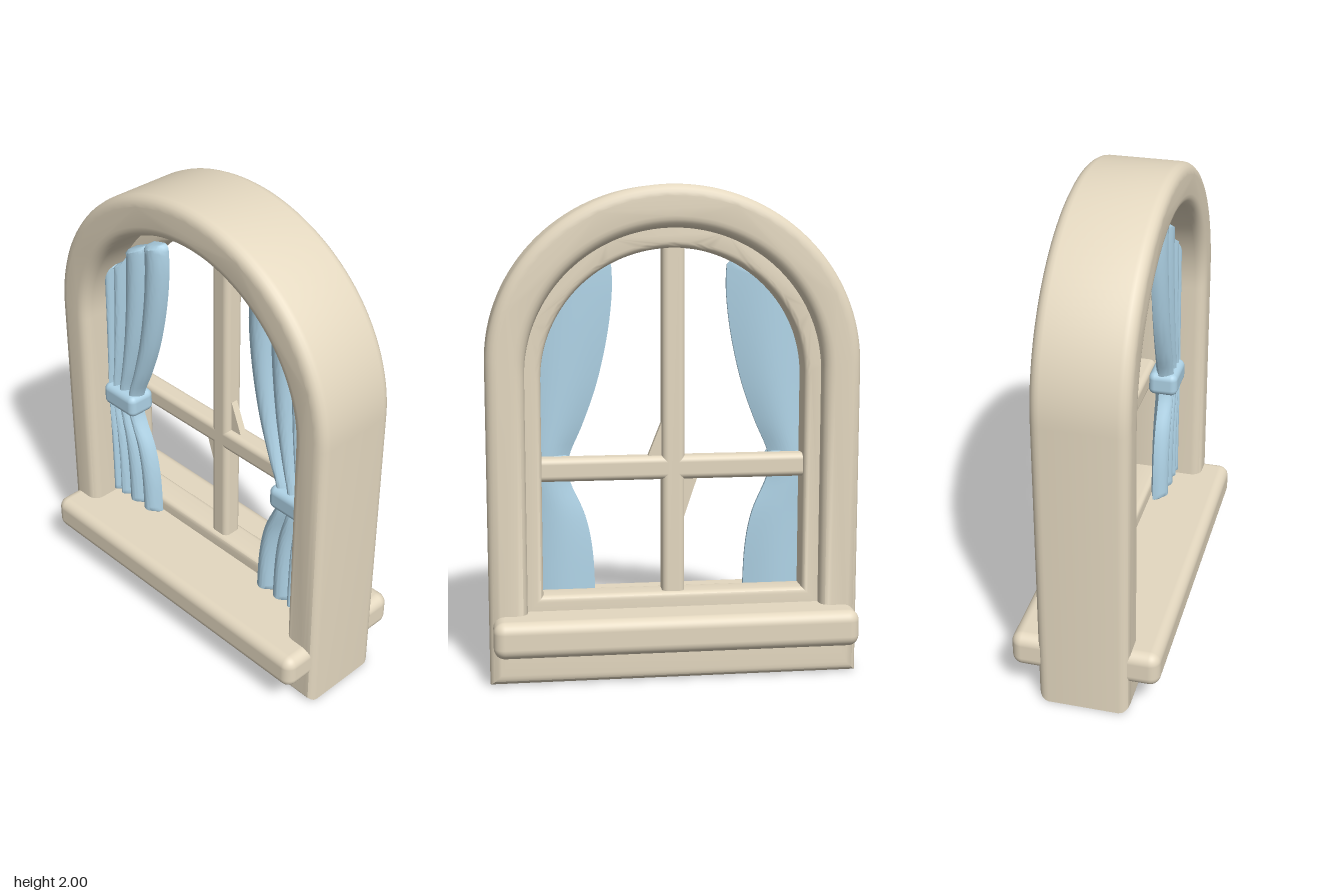
import * as THREE from 'three';
import { toCreasedNormals } from 'three/addons/utils/BufferGeometryUtils.js';
import { RoundedBoxGeometry } from 'three/addons/geometries/RoundedBoxGeometry.js';

const stone = new THREE.MeshStandardMaterial({ color: 0xe4d8c0 });
stone.name = 'sandstone';
const cloth = new THREE.MeshStandardMaterial({ color: 0xb4d9ed });
cloth.name = 'pale blue cloth';

function add(group, name, geometry, material, x = 0, y = 0, z = 0) {
  const mesh = new THREE.Mesh(geometry, material);
  mesh.name = name;
  mesh.position.set(x, y, z);
  group.add(mesh);
  return mesh;
}

// Round-headed outline: straight sides up to the spring line, then half an ellipse
function arch(halfWidth, bottom, spring, top) {
  const points = [new THREE.Vector2(-halfWidth, bottom), new THREE.Vector2(halfWidth, bottom)];
  for (let i = 0; i <= 64; i++) {
    const a = (Math.PI * i) / 64;
    points.push(new THREE.Vector2(halfWidth * Math.cos(a), spring + (top - spring) * Math.sin(a)));
  }
  return points;
}

// Arched ring with rounded edges, centred on z = 0
function archRing(outer, inner, depth, bevel) {
  const shape = new THREE.Shape(arch(...outer));
  shape.holes.push(new THREE.Path(arch(...inner)));
  const geometry = new THREE.ExtrudeGeometry(shape, {
    depth: depth - 2 * bevel, bevelEnabled: true, bevelThickness: bevel, bevelSize: bevel,
    bevelOffset: -bevel, bevelSegments: 5, curveSegments: 1,
  });
  geometry.translate(0, 0, -depth / 2 + bevel);
  return toCreasedNormals(geometry, 0.7);
}

// Linear interpolation through [position, value] pairs
function lerpTable(table, t) {
  let i = 0;
  while (i < table.length - 2 && t > table[i + 1][0]) i++;
  const [a, va] = table[i], [b, vb] = table[i + 1];
  return THREE.MathUtils.lerp(va, vb, THREE.MathUtils.clamp((t - a) / (b - a), 0, 1));
}

// Free edge of the curtain as (height, x), smoothed
const EDGE = new THREE.SplineCurve([
  [0.31, 0.312], [0.5, 0.322], [0.65, 0.352], [0.8, 0.415], [0.9, 0.415],
  [1.03, 0.36], [1.2, 0.3], [1.4, 0.255], [1.58, 0.235], [1.71, 0.24],
].map(([y, x]) => new THREE.Vector2(y, x))).getPoints(80).map((p) => [p.x, p.y]);
// Stepped top hem that follows the arch, from free edge to wall
const HEM = [[0, 1.68], [0.05, 1.695], [0.3, 1.665], [0.36, 1.645], [0.62, 1.6], [0.69, 1.53], [1, 1.46]];
// Fold number across the width, wide folds at the free edge
const PLEATS = [[0, 0], [0.33, 1], [0.65, 2], [0.84, 3], [1, 4]];
const TIE_Y = 0.855, BOTTOM = 0.315, WALL = 0.595;

// Closed pleated curtain from stacked cross-sections; side is +1 or -1
function curtainGeometry(side) {
  const n = 48, rows = [];
  for (let i = 0; i <= 18; i++) rows.push(i / 18 - 1);
  for (let i = 1; i <= 26; i++) rows.push(i / 26);
  rows.splice(1, 0, -0.98);
  rows.splice(rows.length - 1, 0, 0.985);
  const positions = [], index = [], ring = 2 * (n + 1);

  const place = (u, v, front) => {
    const y = v < 0 ? TIE_Y + v * (TIE_Y - BOTTOM) : TIE_Y + v * (lerpTable(HEM, u) - TIE_Y);
    const edge = lerpTable(EDGE, y);
    const end = Math.abs(v) > 0.999 ? 0.65 : 1;
    const pleat = Math.pow(Math.abs(Math.sin(Math.PI * lerpTable(PLEATS, u))), 0.65);
    const z = front ? 0.03 + (0.015 + 0.045 * pleat) * end : 0.03 - 0.03 * end * Math.sin(Math.PI * u);
    positions.push(side * (edge + (WALL - edge) * u), y, z);
  };
  for (const v of rows) {
    for (let j = 0; j <= n; j++) place(j / n, v, true);
    for (let j = n; j >= 0; j--) place(j / n, v, false);
  }
  const quad = (a, b, c, d) => {
    if (side > 0) index.push(a, b, c, a, c, d);
    else index.push(a, c, b, a, d, c);
  };
  for (let r = 0; r < rows.length - 1; r++) {
    for (let j = 0; j < ring; j++) {
      const k = (j + 1) % ring;
      quad(r * ring + j, r * ring + k, (r + 1) * ring + k, (r + 1) * ring + j);
    }
  }
  // Hems at the bottom and top
  const last = (rows.length - 1) * ring;
  for (let j = 0; j < n; j++) {
    const back = ring - 1 - j;
    quad(j, back, back - 1, j + 1);
    quad(last + j, last + j + 1, last + back - 1, last + back);
  }
  const geometry = new THREE.BufferGeometry();
  geometry.setAttribute('position', new THREE.Float32BufferAttribute(positions, 3));
  geometry.setIndex(index);
  return toCreasedNormals(geometry, 1.0);
}

// Small triangular web in a corner of the glazing cross
function gusset(points) {
  const shape = new THREE.Shape(points.map(([x, y]) => new THREE.Vector2(x, y)));
  const geometry = new THREE.ExtrudeGeometry(shape, { depth: 0.03, bevelEnabled: false });
  return geometry.translate(0, 0, -0.015);
}

export function createModel() {
  const model = new THREE.Group();
  model.name = 'archedWindow';

  // Masonry surround and the sill that projects front and back
  add(model, 'outerFrame',
    archRing([0.755, 0, 1.28, 2], [0.6, 0.22, 1.25, 1.83], 0.38, 0.045), stone);
  add(model, 'sill', new RoundedBoxGeometry(1.48, 0.15, 0.61, 5, 0.045), stone, 0, 0.215, 0);

  // Sash: inner rim and glazing bars
  const sash = new THREE.Group();
  sash.name = 'sash';
  sash.position.z = -0.06;
  model.add(sash);
  add(sash, 'innerRim',
    archRing([0.64, 0.23, 1.25, 1.87], [0.535, 0.35, 1.23, 1.75], 0.13, 0.025), stone);
  add(sash, 'verticalBar', new RoundedBoxGeometry(0.092, 1.5, 0.09, 4, 0.025), stone, 0, 1.05, 0);
  add(sash, 'horizontalBar', new RoundedBoxGeometry(1.16, 0.096, 0.09, 4, 0.025), stone, 0, 0.863, 0);
  add(sash, 'upperGusset', gusset([[0.03, 0.9], [0.105, 0.9], [0.045, 1.05], [0.03, 1.05]]), stone);
  add(sash, 'lowerGusset', gusset([[-0.03, 0.65], [-0.045, 0.65], [-0.105, 0.83], [-0.03, 0.83]]), stone);

  // Pair of tied-back curtains
  for (const side of [1, -1]) {
    const curtain = new THREE.Group();
    curtain.name = side > 0 ? 'leftCurtain' : 'rightCurtain';
    add(curtain, 'drape', curtainGeometry(side), cloth);
    add(curtain, 'tieBack', new RoundedBoxGeometry(0.195, 0.105, 0.13, 4, 0.03), cloth,
      side * 0.505, 0.853, 0.045);
    model.add(curtain);
  }
  return model;
}
